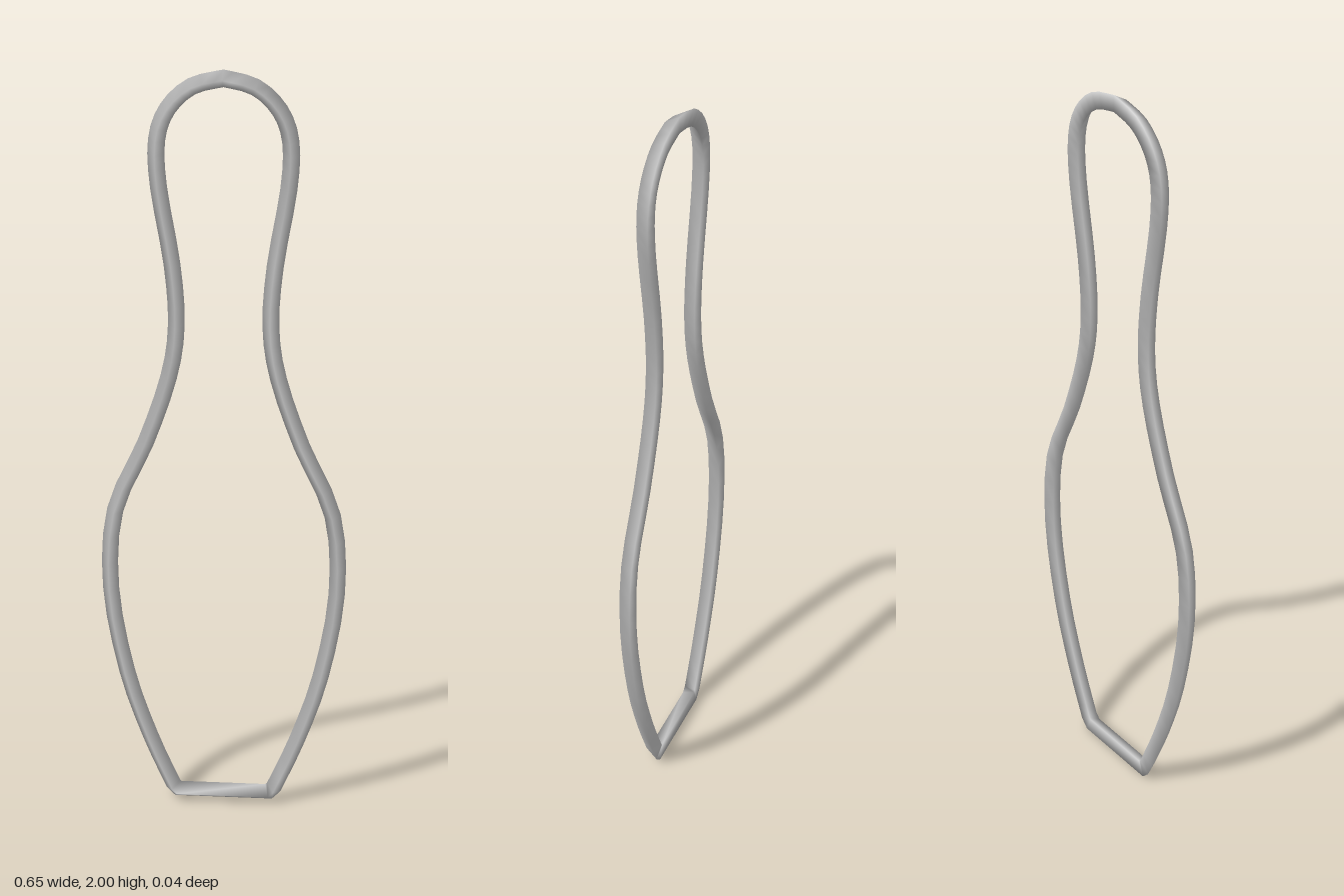
import * as THREE from 'three';

// Sweep a triangular section (point forward, flat at the back) round a closed flat loop, with mitred joints
function sweepLoop(path, halfWidth, halfDepth) {
  const section = [[0, halfDepth], [halfWidth, -halfDepth], [-halfWidth, -halfDepth]];
  const n = path.length, k = section.length;
  const positions = [], index = [];
  path.forEach((p, i) => {
    const before = p.clone().sub(path[(i + n - 1) % n]).normalize();
    const after = path[(i + 1) % n].clone().sub(p).normalize();
    const along = before.clone().add(after).normalize();
    const mitre = 1 / along.dot(after);
    for (const [out, z] of section) {
      positions.push(p.x + along.y * out * mitre, p.y - along.x * out * mitre, z);
    }
    for (let j = 0; j < k; j++) {
      const a = i * k + j, b = i * k + (j + 1) % k;
      const c = ((i + 1) % n) * k + j, d = ((i + 1) % n) * k + (j + 1) % k;
      index.push(a, b, c, b, d, c);
    }
  });
  const geometry = new THREE.BufferGeometry();
  geometry.setAttribute('position', new THREE.Float32BufferAttribute(positions, 3));
  geometry.setIndex(index);
  geometry.computeVertexNormals();
  return geometry;
}

export function createModel() {
  const group = new THREE.Group();
  group.name = 'pinOutline';

  // Centre line of one side, from the foot to the crown
  const side = new THREE.SplineCurve([
    [0.138, 0.036], [0.2, 0.18], [0.262, 0.37], [0.302, 0.61], [0.288, 0.83],
    [0.205, 1.02], [0.143, 1.2], [0.122, 1.34], [0.132, 1.5], [0.165, 1.7],
    [0.169, 1.82], [0.141, 1.9], [0.08, 1.957], [0, 1.978],
  ].map(([x, y]) => new THREE.Vector2(x, y)));

  // Foot corner is slightly bevelled, then the side is mirrored
  const half = [new THREE.Vector2(0.124, 0.022), ...side.getPoints(39)];
  const mirrored = half.slice(0, -1).reverse().map((p) => new THREE.Vector2(-p.x, p.y));

  const rim = new THREE.Mesh(
    sweepLoop([...half, ...mirrored], 0.0217, 0.019),
    new THREE.MeshStandardMaterial({ color: 0xcccccc })
  );
  rim.name = 'outlineRim';
  group.add(rim);
  return group;
}
